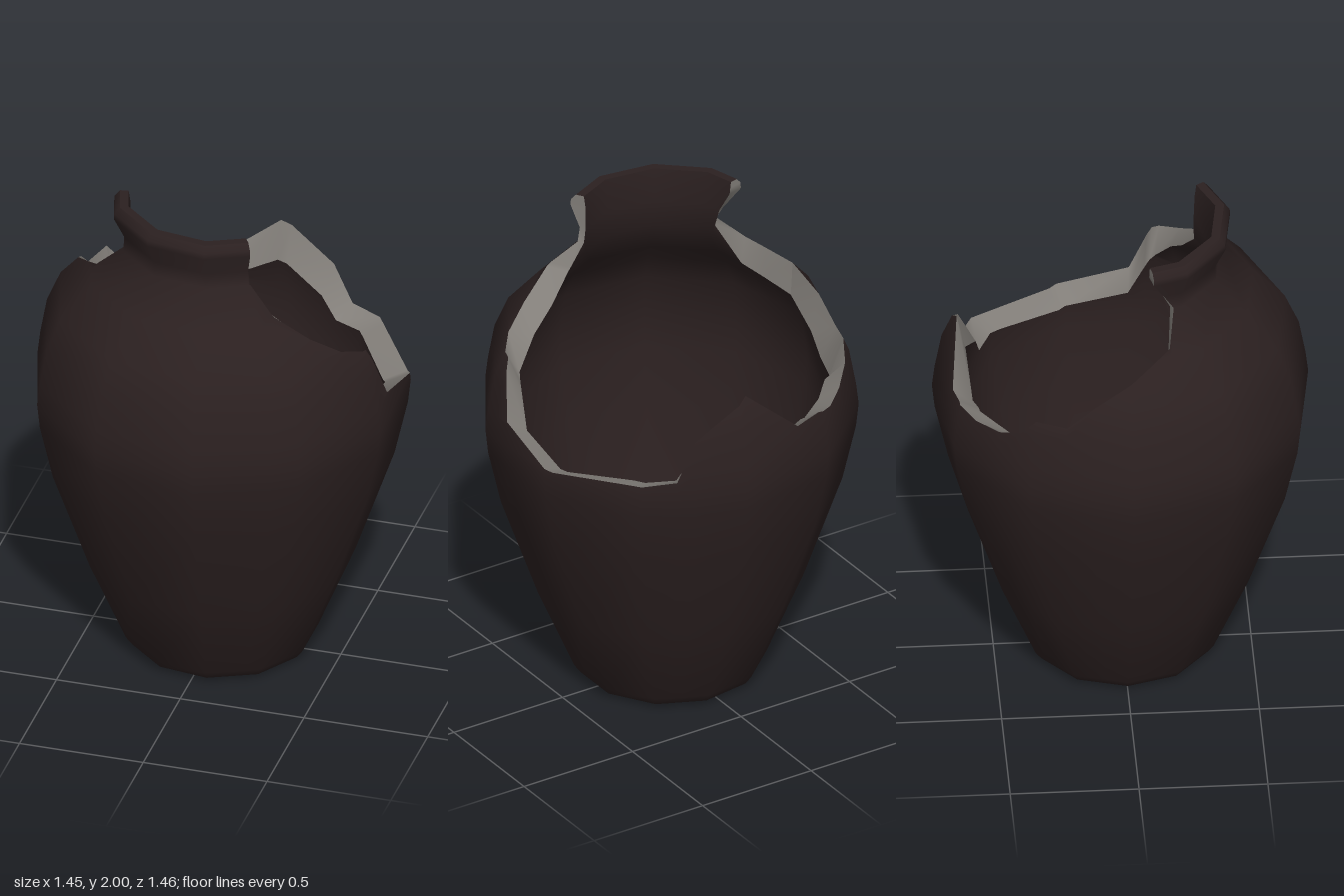
import * as THREE from 'three';

const SIDES = 11;
const STEP = 360 / SIDES;
const CENTRE_X = 0.0125;
const rad = THREE.MathUtils.degToRad;

// Wall profiles as [radius, height], from the middle of the base up to the lip.
const OUTER = [[0, 0], [0.32, 0], [0.355, 0.02], [0.38, 0.055], [0.525, 0.4], [0.675, 0.83],
  [0.727, 1.06], [0.7375, 1.16], [0.727, 1.25], [0.7, 1.4], [0.645, 1.53], [0.52, 1.67],
  [0.39, 1.8], [0.385, 1.86], [0.428, 1.95], [0.427, 1.975], [0.405, 2]];
const INNER = [[0, 0.1], [0.28, 0.1], [0.31, 0.15], [0.43, 0.4], [0.585, 0.83], [0.63, 1.06],
  [0.64, 1.16], [0.63, 1.25], [0.61, 1.38], [0.55, 1.5], [0.46, 1.6], [0.365, 1.75],
  [0.36, 1.86], [0.362, 1.95], [0.37, 2]];

// Broken edge as [angle, outer height, inner height, lean of the neck]; angle runs from +x to +z.
const LIP_START = 57.3, LIP_END = 152, LEAN = 14;
const BREAK = [[LIP_START, 2, 2, 0], [LIP_END, 2, 2, LEAN],
  [152.01, 1.975, 1.975, LEAN], [152.02, 1.95, 1.95, LEAN], [152.03, 1.86, 1.86, LEAN],
  [152.04, 1.8, 1.79, 0], [161, 1.69, 1.58, 0],
  [170, 1.655, 1.52, 0], [180, 1.61, 1.47, 0], [193, 1.53, 1.37, 0], [202.5, 1.44, 1.3, 0],
  [213, 1.45, 1.285, 0], [218, 1.38, 1.3, 0], [227.5, 1.33, 1.27, 0], [238, 1.32, 1.28, 0],
  [247, 1.35, 1.29, 0], [256, 1.33, 1.26, 0], [275, 1.52, 1.36, 0], [294, 1.37, 1.26, 0],
  [300, 1.21, 1.17, 0], [315, 1.2, 1.17, 0], [341, 1.18, 1.14, 0], [366, 1.26, 1.2, 0],
  [372, 1.44, 1.33, 0], [374, 1.49, 1.37, 0], [385, 1.53, 1.51, 0], [395, 1.6, 1.59, 0],
  [408, 1.7, 1.69, 0], [415.5, 1.8, 1.8, 0], [416.6, 1.86, 1.86, 0], [417.2, 1.95, 1.95, 0],
  [417.25, 1.975, 1.975, 0], [LIP_START + 360, 2, 2, 0]];

// Columns: every break point plus every corner of the eleven-sided wall.
function makeColumns() {
  const columns = BREAK.map((b) => [...b]);
  for (let k = 0; k < SIDES * 2; k++) {
    const a = 180 - 4 * STEP + k * STEP;
    const i = BREAK.findIndex((b) => b[0] > a);
    if (i < 1) continue;
    const p = BREAK[i - 1], q = BREAK[i];
    const t = (a - p[0]) / (q[0] - p[0]);
    columns.push([a, p[1] + (q[1] - p[1]) * t, p[2] + (q[2] - p[2]) * t, 0]);
  }
  return columns.sort((p, q) => p[0] - q[0]);
}

// Point on the faceted wall for an angle, radius and height.
function wallPoint(column, r, y) {
  const a = column[0] + column[3] * THREE.MathUtils.clamp((y - 1.8) / 0.15, 0, 1);
  const offset = ((a - 180) % STEP + STEP) % STEP - STEP / 2;
  const R = r * Math.cos(Math.PI / SIDES) / Math.cos(rad(offset));
  return { a: rad(a), p: [CENTRE_X + R * Math.cos(rad(a)), y, R * Math.sin(rad(a))] };
}

// Profile row k, cut off at the height of the break.
function cutRow(profile, k, top) {
  const i = profile.findIndex((p) => p[1] > top);
  if (i < 0 || k < i) return profile[k];
  const [r0, y0] = profile[i - 1], [r1, y1] = profile[i];
  return [r0 + (r1 - r0) * (top - y0) / (y1 - y0), top];
}

// Averaged outward slope of the profile at row k, below the break.
function slope(profile, k, top) {
  const i = profile.findIndex((p) => p[1] > top);
  const j = i < 0 ? k : Math.min(k, i);
  if (j === 0) return [0, -1];
  const n = [0, 0];
  for (const s of [j - 1, j]) {
    if (s + 1 >= profile.length) continue;
    const dr = profile[s + 1][0] - profile[s][0], dy = profile[s + 1][1] - profile[s][1];
    const l = Math.hypot(dr, dy);
    n[0] += dy / l;
    n[1] -= dr / l;
  }
  const l = Math.hypot(n[0], n[1]);
  return [n[0] / l, n[1] / l];
}

function gridIndex(columnCount, rowCount, flip) {
  const index = [];
  for (let c = 0; c < columnCount - 1; c++) {
    for (let k = 0; k < rowCount - 1; k++) {
      const a = c * rowCount + k, b = a + rowCount;
      if (flip) index.push(a, b, a + 1, a + 1, b, b + 1);
      else index.push(a, a + 1, b, a + 1, b + 1, b);
    }
  }
  return index;
}

// Smooth wall skin; topField picks the outer or inner break height.
function wallGeometry(columns, profile, topField, flip) {
  const position = [], normal = [];
  const sign = flip ? -1 : 1;
  for (const column of columns) {
    for (let k = 0; k < profile.length; k++) {
      const [r, y] = cutRow(profile, k, column[topField]);
      const { a, p } = wallPoint(column, r, y);
      const [nr, ny] = slope(profile, k, column[topField]);
      position.push(...p);
      normal.push(sign * nr * Math.cos(a), sign * ny, sign * nr * Math.sin(a));
    }
  }
  const g = new THREE.BufferGeometry();
  g.setAttribute('position', new THREE.Float32BufferAttribute(position, 3));
  g.setAttribute('normal', new THREE.Float32BufferAttribute(normal, 3));
  g.setIndex(gridIndex(columns.length, profile.length, flip));
  return g;
}

// Strip across the wall thickness, joining the outer and inner edges.
function edgeGeometry(columns) {
  const position = [];
  for (const column of columns) {
    for (const [profile, field] of [[OUTER, 1], [INNER, 2]]) {
      const [r, y] = cutRow(profile, profile.length - 1, column[field]);
      position.push(...wallPoint(column, r, y).p);
    }
  }
  const g = new THREE.BufferGeometry();
  g.setAttribute('position', new THREE.Float32BufferAttribute(position, 3));
  g.setIndex(gridIndex(columns.length, 2, false));
  g.computeVertexNormals();
  return g;
}

export function createModel() {
  const glaze = new THREE.MeshStandardMaterial({ color: 0x2b2020 });
  glaze.name = 'dark brown glaze';
  const clay = new THREE.MeshStandardMaterial({ color: 0x827e79, side: THREE.DoubleSide });
  clay.name = 'bare grey clay';

  const group = new THREE.Group();
  group.name = 'brokenJar';
  const add = (name, geometry, material) => {
    const mesh = new THREE.Mesh(geometry, material);
    mesh.name = name;
    group.add(mesh);
  };

  const columns = makeColumns();
  add('outerWall', wallGeometry(columns, OUTER, 1, false), glaze);
  add('innerWall', wallGeometry(columns, INNER, 2, true), glaze);
  add('lipTop', edgeGeometry(columns.filter((c) => c[0] <= LIP_END)), glaze);
  add('brokenEdge', edgeGeometry(columns.filter((c) => c[0] >= LIP_END)), clay);
  return group;
}
